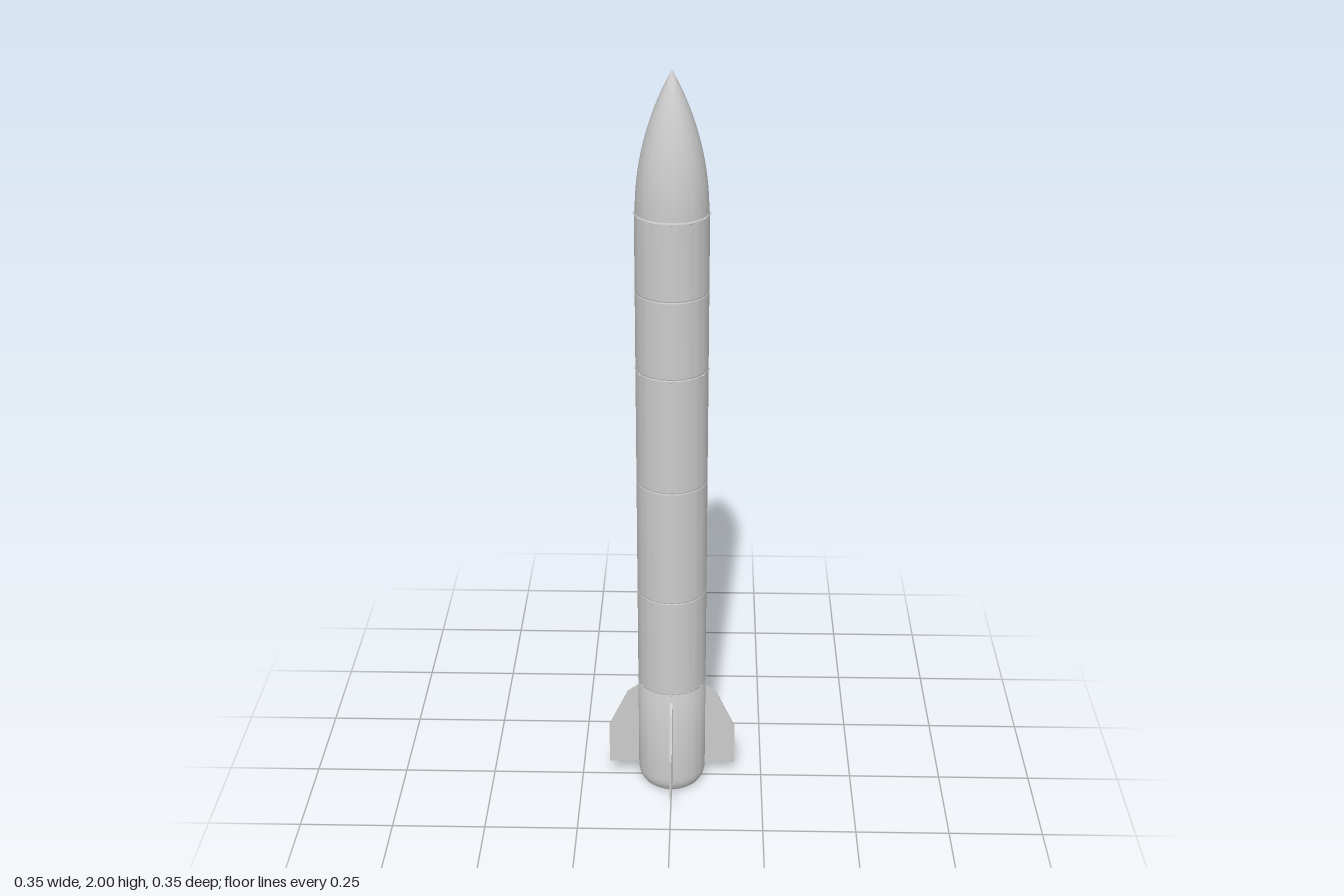
import * as THREE from 'three';
import { toCreasedNormals } from 'three/addons/utils/BufferGeometryUtils.js';

const BODY_R = 0.092;
const material = new THREE.MeshStandardMaterial({ color: 0xcccccc });
const doubleSided = new THREE.MeshStandardMaterial({ color: 0xcccccc, side: THREE.DoubleSide });

function addMesh(parent, name, geometry, mat = material) {
  const mesh = new THREE.Mesh(geometry, mat);
  mesh.name = name;
  parent.add(mesh);
  return mesh;
}

function lathe(points, crease = 0.6) {
  const geometry = new THREE.LatheGeometry(points.map(([r, y]) => new THREE.Vector2(r, y)), 64);
  return toCreasedNormals(geometry, crease);
}

export function createModel() {
  const rocket = new THREE.Group();
  rocket.name = 'rocket';

  // Body tube in sections, each joint marked by a very shallow lip
  const joints = [0.325, 0.61, 0.935, 1.25, 1.455, 1.655];
  for (let i = 0; i < joints.length - 1; i++) {
    const [low, high] = [joints[i], joints[i + 1]];
    addMesh(rocket, 'bodySection' + (i + 1), lathe([
      [BODY_R - 0.001, low], [BODY_R, low + 0.003], [BODY_R, high - 0.003], [BODY_R - 0.001, high],
    ], 0.2));
  }

  // Pointed ogive nose
  const noseBase = 1.655, noseLength = 0.345, noseR = 0.09;
  const arcR = (noseR ** 2 + noseLength ** 2) / (2 * noseR);
  const nose = [[BODY_R - 0.001, noseBase], [noseR, noseBase + 0.001]];
  for (let i = 1; i <= 24; i++) {
    const h = (noseLength * i) / 24;
    const r = Math.sqrt(arcR ** 2 - h ** 2) + noseR - arcR;
    nose.push([i === 24 ? 0 : r, noseBase + h]);
  }
  addMesh(rocket, 'noseCone', lathe(nose));

  // Tail with rounded lower edge and a hollow exhaust opening
  const tail = [[0, 0.06], [0.028, 0.06], [0.034, 0.045], [0.042, 0.02], [0.05, 0], [0.066, 0]];
  for (let i = 1; i <= 8; i++) {
    const a = (i / 8) * Math.PI / 2;
    tail.push([0.066 + 0.026 * Math.sin(a), 0.045 * (1 - Math.cos(a))]);
  }
  tail.push([BODY_R, 0.322], [BODY_R - 0.001, 0.325]);
  addMesh(rocket, 'tailSection', lathe(tail), doubleSided);

  // Four clipped fins
  const finShape = new THREE.Shape([
    [0.08, 0.045], [0.174, 0.045], [0.174, 0.165], [0.121, 0.277], [0.09, 0.3], [0.08, 0.3],
  ].map(([x, y]) => new THREE.Vector2(x, y)));
  const finGeometry = new THREE.ExtrudeGeometry(finShape, { depth: 0.006, bevelEnabled: false });
  finGeometry.translate(0, 0, -0.003);
  for (let i = 0; i < 4; i++) {
    addMesh(rocket, 'fin' + (i + 1), finGeometry).rotation.y = (i * Math.PI) / 2;
  }

  // Rivets around the main joints
  const rivetGeometry = new THREE.SphereGeometry(0.003, 8, 6);
  for (const y of [0.325, 1.245, 1.652]) {
    const ring = new THREE.Group();
    ring.name = 'rivetRing';
    for (let i = 0; i < 12; i++) {
      const a = (i * Math.PI) / 6;
      addMesh(ring, 'rivet', rivetGeometry)
        .position.set(BODY_R * Math.cos(a), y, BODY_R * Math.sin(a));
    }
    rocket.add(ring);
  }

  return rocket;
}
